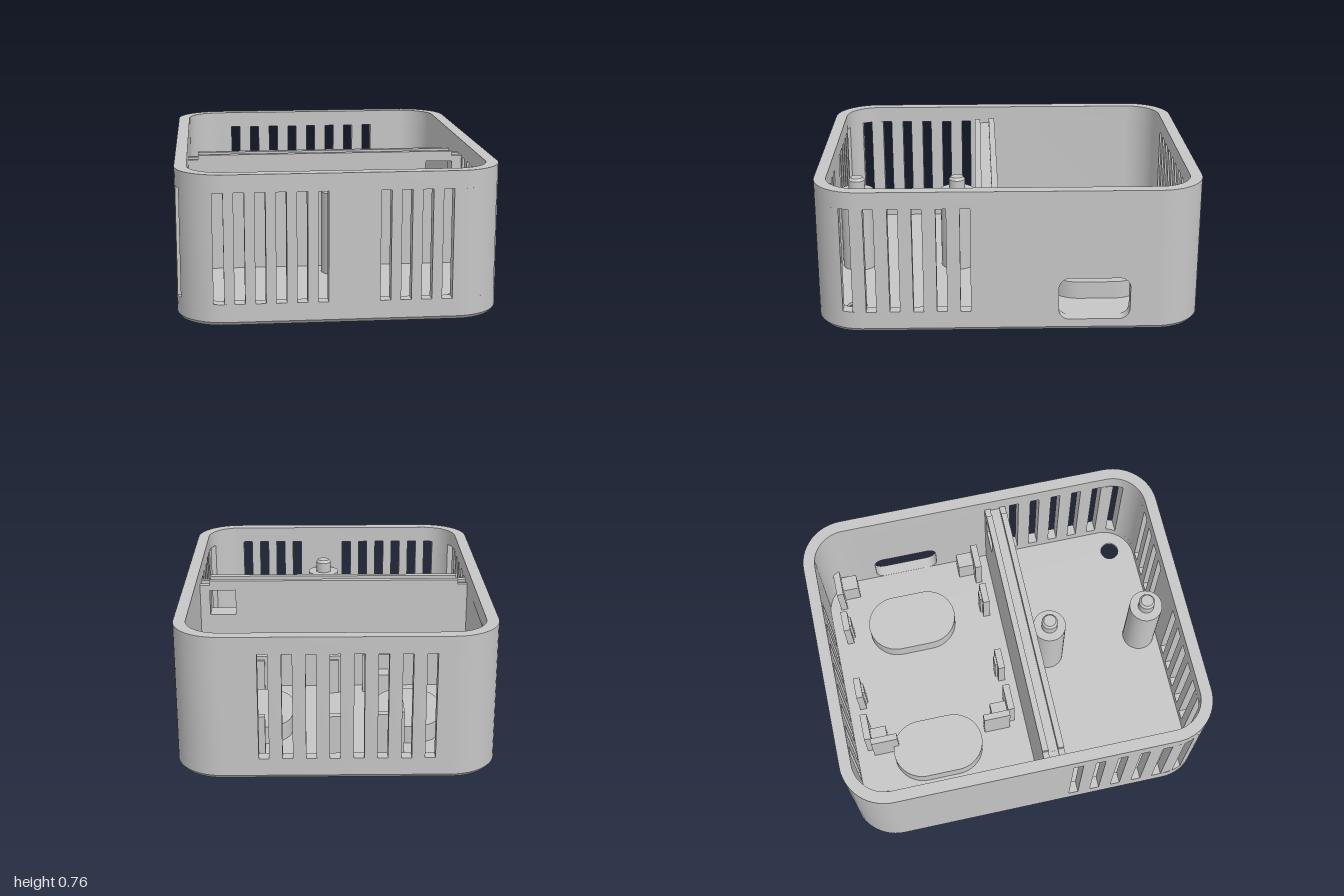
import * as THREE from 'three';
import { toCreasedNormals } from 'three/addons/utils/BufferGeometryUtils.js';

const W = 0.817, L = 1, R = 0.243, T = 0.063;  // half width, half length, corner radius, wall
const CX = W - R, CZ = L - R;                  // corner arc centres
const FLOOR = 0.06, SLOT0 = 0.11, SLOT1 = 0.67, TOP = 0.76, SLOT_W = 0.052;

const vectors = (pts) => pts.map(([x, y]) => new THREE.Vector2(x, y));

export function createModel() {
  const model = new THREE.Group();
  const grey = new THREE.MeshStandardMaterial({ color: 0xc6c6c6 });
  grey.name = 'grey plastic';

  const add = (name, geo, parent = model) => {
    const mesh = new THREE.Mesh(toCreasedNormals(geo, 0.5), grey);
    mesh.name = name;
    parent.add(mesh);
  };
  const group = (name) => {
    const g = new THREE.Group();
    g.name = name;
    model.add(g);
    return g;
  };
  // Points are [x, z] plan coordinates; outlines always run counter-clockwise
  const toShape = (pts) => {
    const v = vectors(pts.map(([x, z]) => [x, -z]));
    return new THREE.Shape(THREE.ShapeUtils.isClockWise(v) ? v.reverse() : v);
  };
  const plan = (shape, y0, y1) => new THREE.ExtrudeGeometry(shape, { depth: y1 - y0, bevelEnabled: false, curveSegments: 20 })
    .rotateX(-Math.PI / 2).translate(0, y0, 0);
  const block = (name, x0, x1, y0, y1, z0, z1, parent) => add(name,
    new THREE.BoxGeometry(x1 - x0, y1 - y0, z1 - z0).translate((x0 + x1) / 2, (y0 + y1) / 2, (z0 + z1) / 2), parent);

  // Corner arc running from the x side to the z side, cut at |z| = zCut and |x| = xCut
  const cornerLine = (sx, sz, inset, zCut = CZ, xCut = CX) => {
    const r = R - inset, pts = [];
    const a0 = zCut > CZ ? Math.asin((zCut - CZ) / r) : 0;
    const a1 = xCut > CX ? Math.acos((xCut - CX) / r) : Math.PI / 2;
    if (zCut < CZ) pts.push([sx * (W - inset), sz * zCut]);
    for (let i = 0; i <= 14; i++) {
      const a = a0 + (a1 - a0) * i / 14;
      pts.push([sx * (CX + r * Math.cos(a)), sz * (CZ + r * Math.sin(a))]);
    }
    if (xCut < CX) pts.push([sx * xCut, sz * (L - inset)]);
    return pts;
  };
  const loop = (inset) => [
    ...cornerLine(1, 1, inset), ...cornerLine(-1, 1, inset).reverse(),
    ...cornerLine(-1, -1, inset), ...cornerLine(1, -1, inset).reverse(),
  ];

  // Slot centres on each side
  const sideSlots = [0, 1, 2, 3, 4, 5].map((i) => 0.225 + 0.1212 * i);
  const frontSlots = [-0.607, -0.504, -0.401, -0.298, -0.195, -0.092, 0.218, 0.321, 0.424, 0.527];
  const backSlots = [0, 1, 2, 3, 4, 5, 6, 7].map((i) => -0.468 + 0.119 * i);
  const h = SLOT_W / 2, sideStart = sideSlots[0] - h, sideEnd = sideSlots[5] + h;
  const panelBack = -0.7;

  // Floor slab with keyholes, screw holes and a chamfered lower edge
  const screws = [[-0.623, -0.808], [0.62, 0.8]];
  const keyX = [-0.393, 0.394];
  const keyhole = (x) => {
    const p = new THREE.Path(), z = -0.387, r = 0.115, w = 0.042, tip = -0.64;
    const a = Math.acos(w / r);
    p.absarc(x, -z, r, Math.PI - a, a + Math.PI * 2, false);
    p.lineTo(x + w, -tip);
    p.lineTo(x - w, -tip);
    p.closePath();
    return p;
  };
  const slab = toShape(loop(0));
  screws.forEach(([x, z]) => slab.holes.push(new THREE.Path().absarc(x, -z, 0.1, 0, Math.PI * 2)));
  keyX.forEach((x) => slab.holes.push(keyhole(x)));
  const chamfer = plan(slab, 0, 0.018), pos = chamfer.attributes.position;
  for (let i = 0; i < pos.count; i++) {
    if (pos.getY(i) > 0.01) continue;
    const x = pos.getX(i), z = pos.getZ(i);
    const dx = Math.max(Math.abs(x) - CX, 0), dz = Math.max(Math.abs(z) - CZ, 0), q = Math.hypot(dx, dz);
    if (q < R - 0.01) continue;
    const k = 0.014 / q;
    pos.setX(i, x - Math.sign(x) * dx * k);
    pos.setZ(i, z - Math.sign(z) * dz * k);
  }
  const floor = group('floor');
  add('floorChamfer', chamfer, floor);
  add('floorSlab', plan(slab, 0.018, FLOOR), floor);

  // Countersunk screw holes
  const sink = vectors([[0.1, FLOOR], [0.052, FLOOR], [0.052, 0.045], [0.1, 0]]);
  screws.forEach(([x, z]) => add('countersink', new THREE.LatheGeometry(sink, 40).translate(x, 0, z), floor));

  // Oval pads that close the keyhole pockets
  const pad = (x) => {
    const s = new THREE.Shape();
    s.absarc(x, 0.561, 0.165, 0, Math.PI, false);
    s.absarc(x, 0.381, 0.165, Math.PI, Math.PI * 2, false);
    s.closePath();
    return s;
  };
  keyX.forEach((x) => {
    const ring = pad(x);
    ring.holes.push(keyhole(x));
    add('keyholePad', plan(ring, FLOOR, 0.125), floor);
    add('keyholeCap', plan(pad(x), 0.125, 0.155), floor);
  });

  // Walls: lower band (open at the port panel), top rim, then pillars between the slots
  const walls = group('walls');
  const band = (inset) => [[W - inset, sideStart], ...loop(inset), [W - inset, panelBack]];
  add('lowerBand', plan(toShape([...band(0), ...band(T).reverse()]), FLOOR, SLOT0), walls);
  const rim = toShape(loop(0));
  rim.holes.push(new THREE.Path(vectors(loop(T).map(([x, z]) => [x, -z]))));
  add('topRim', plan(rim, SLOT1, TOP), walls);

  const frontL = -frontSlots[0] + h, frontR = frontSlots[9] + h;
  [[1, 1, sideEnd, frontR], [-1, 1, sideEnd, frontL],
    [-1, -1, -sideStart, -backSlots[0] + h], [1, -1, -panelBack, backSlots[7] + h]].forEach(([sx, sz, zc, xc]) =>
    add('cornerWall', plan(toShape([...cornerLine(sx, sz, 0, zc, xc),
      ...cornerLine(sx, sz, T, zc, xc).reverse()]), SLOT0, SLOT1), walls));

  // Distance of the wall surface from the middle at position u along a side
  const reach = (u, c, half, inset) => {
    const r = R - inset, d = Math.max(Math.abs(u) - c, 0);
    return half - R + Math.sqrt(r * r - d * d);
  };
  const pillars = (slots, c, half, place) => {
    for (let i = 0; i + 1 < slots.length; i++) {
      const a = slots[i] + h, b = slots[i + 1] - h;
      const pts = [[a, 0], [b, 0], [b, T], [a, T]].map(([u, inset]) => place(u, reach(u, c, half, inset)));
      add('pillar', plan(toShape(pts), SLOT0, SLOT1), walls);
    }
  };
  pillars(frontSlots, CX, L, (u, d) => [u, d]);
  pillars(backSlots, CX, L, (u, d) => [u, -d]);
  for (const s of [1, -1]) pillars(sideSlots, CZ, W, (u, d) => [s * d, u]);

  // Right panel with the rounded port opening
  const panel = new THREE.Shape(vectors([[-sideStart, FLOOR], [-panelBack, FLOOR], [-panelBack, SLOT1], [-sideStart, SLOT1]]));
  const port = new THREE.Path(), z0 = 0.252, z1 = 0.62, y0 = FLOOR + 0.001, y1 = 0.287, c = 0.055;
  port.absarc(z1 - c, y0 + c, c, -Math.PI / 2, 0);
  port.absarc(z1 - c, y1 - c, c, 0, Math.PI / 2);
  port.absarc(z0 + c, y1 - c, c, Math.PI / 2, Math.PI);
  port.absarc(z0 + c, y0 + c, c, Math.PI, Math.PI * 1.5);
  port.closePath();
  panel.holes.push(port);
  add('portPanel', new THREE.ExtrudeGeometry(panel, { depth: T, bevelEnabled: false })
    .rotateY(Math.PI / 2).translate(W - T, 0, 0), walls);

  // Divider: two outer sheets and a lower core, with a cable window
  const divider = group('divider');
  const sheet = (name, zA, zB, top, end) => {
    const E = W - T + 0.004, M = 0.7;
    const s = new THREE.Shape(vectors([[-E, FLOOR], [E, FLOOR], [E, end], [M, end], [M, top], [-M, top], [-M, end], [-E, end]]));
    s.holes.push(new THREE.Path(vectors([[0.555, 0.5], [0.7, 0.5], [0.7, 0.645], [0.555, 0.645]])));
    add(name, new THREE.ExtrudeGeometry(s, { depth: zB - zA, bevelEnabled: false }).translate(0, 0, zA), divider);
  };
  sheet('dividerBack', 0.054, 0.087, 0.7, 0.675);
  sheet('dividerCore', 0.087, 0.139, 0.66, 0.659);
  sheet('dividerFront', 0.139, 0.172, 0.7, 0.675);

  // Standoffs with locating pins
  const post = vectors([[0.092, FLOOR], [0.092, 0.51], [0.045, 0.51], [0.045, 0.57], [0.034, 0.585], [0, 0.585]]);
  for (const z of [0.274, 0.834]) add('standoff', new THREE.LatheGeometry(post, 32).translate(0.053, 0, z));

  // Board holders, mirrored about the middle of the rear bay
  const holders = group('boardHolders');
  const mid = -0.439;
  for (const s of [1, -1]) {
    const part = (name, x0, x1, d0, d1, top) => {
      const a = mid + s * d0, b = mid + s * d1;
      block(name, x0, x1, FLOOR, top, Math.min(a, b), Math.max(a, b), holders);
    };
    part('endStop', 0.586, 0.732, 0.395, 0.433, 0.29);
    part('boardRest', 0.646, 0.732, 0.305, 0.395, 0.2);
    part('endStop', -0.313, -0.163, 0.395, 0.433, 0.29);
    part('boardRest', -0.313, -0.228, 0.305, 0.395, 0.2);
    part('sideStop', -0.348, -0.313, 0.25, 0.4, 0.29);
    for (const x of [0.002, 0.422]) {
      part('clip', x - 0.06, x + 0.06, 0.395, 0.433, 0.28);
      part('clipNub', x - 0.028, x + 0.028, 0.382, 0.395, 0.26);
    }
  }
  return model;
}
